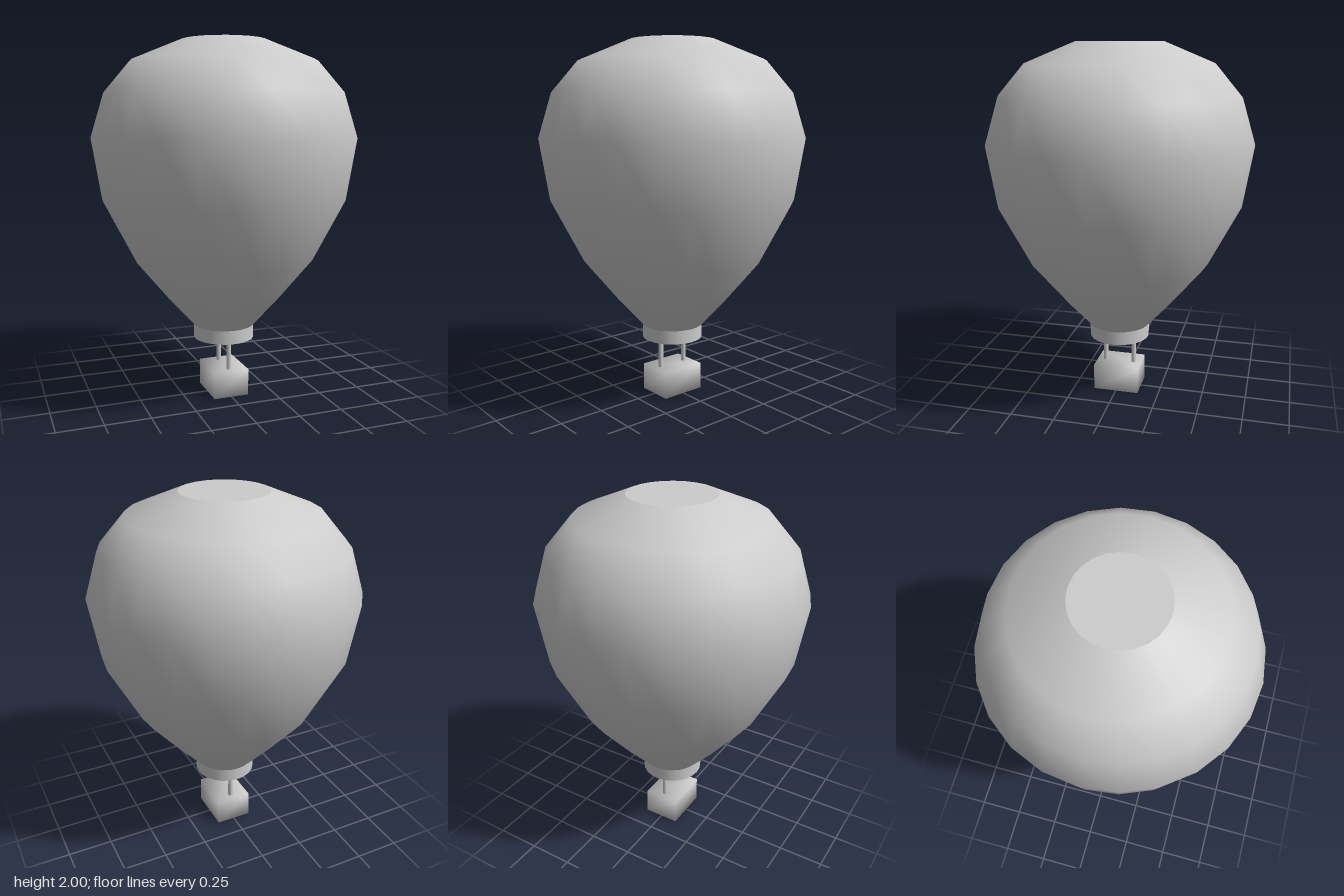
import * as THREE from 'three';
import { mergeVertices } from 'three/addons/utils/BufferGeometryUtils.js';

export function createModel() {
  const group = new THREE.Group();
  const material = new THREE.MeshStandardMaterial({ color: 0xcccccc });
  const SIDES = 24;

  const add = (name, geometry, x = 0, y = 0, z = 0) => {
    const mesh = new THREE.Mesh(geometry, material);
    mesh.name = name;
    mesh.position.set(x, y, z);
    group.add(mesh);
    return mesh;
  };

  // Envelope: smooth shell turned from a profile of [radius, height]
  const profile = [
    [0.17, 0.4], [0.315, 0.56], [0.505, 0.79], [0.68, 1.13],
    [0.735, 1.47], [0.66, 1.715], [0.515, 1.885], [0.237, 2],
  ].map(([r, y]) => new THREE.Vector2(r, y));
  add('envelope', new THREE.LatheGeometry(profile, SIDES));

  // Flat crown closing the top
  add('crown', new THREE.CircleGeometry(0.237, SIDES).rotateX(-Math.PI / 2), 0, 2, 0);

  // Collar at the mouth of the envelope
  add('collar', new THREE.CylinderGeometry(0.172, 0.172, 0.08, SIDES), 0, 0.365, 0);

  // Two posts carrying the basket
  for (const side of [1, -1]) {
    add(side > 0 ? 'frontPost' : 'backPost',
      new THREE.CylinderGeometry(0.014, 0.014, 0.19, 12), 0, 0.235, side * 0.085);
  }

  // Basket: box with shared corners for soft shading
  let basket = new THREE.BoxGeometry(0.205, 0.152, 0.262);
  basket.deleteAttribute('normal');
  basket.deleteAttribute('uv');
  basket = mergeVertices(basket);
  basket.computeVertexNormals();
  add('basket', basket, 0, 0.076, 0);

  return group;
}
